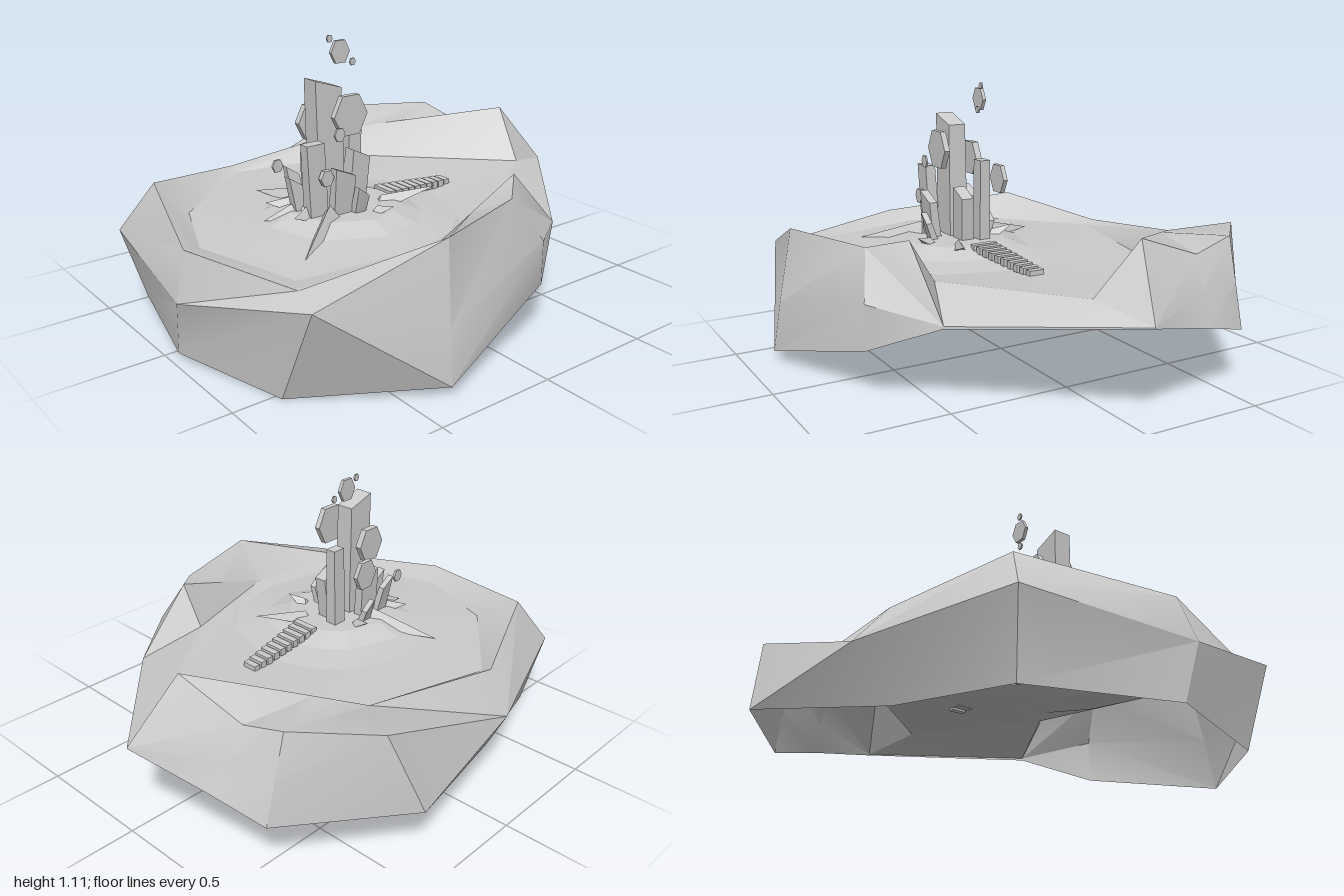
import * as THREE from 'three';
import { toCreasedNormals } from 'three/addons/utils/BufferGeometryUtils.js';

const stone = new THREE.MeshStandardMaterial({ color: 0xcccccc, side: THREE.DoubleSide });
stone.name = 'pale stone';

// Mesh with soft shallow folds and sharp steep edges
function rock(name, geometry, crease = 0.5) {
  const m = new THREE.Mesh(toCreasedNormals(geometry, crease), stone);
  m.name = name;
  return m;
}

// Faceted mesh from a list of triangles of Vector3, dropping empty ones
function facets(name, tris, crease) {
  const pos = [];
  const t = new THREE.Triangle();
  for (const [a, b, c] of tris) {
    if (t.set(a, b, c).getArea() < 1e-6) continue;
    for (const p of [a, b, c]) pos.push(p.x, p.y, p.z);
  }
  const g = new THREE.BufferGeometry();
  g.setAttribute('position', new THREE.Float32BufferAttribute(pos, 3));
  return rock(name, g, crease);
}

// Band of faces between two closed rings; flips lists quads cut along the other diagonal
function band(a, b, flips = []) {
  const tris = [];
  a.forEach((p, i) => {
    const j = (i + 1) % a.length;
    if (flips.includes(i)) tris.push([p, a[j], b[i]], [a[j], b[j], b[i]]);
    else tris.push([p, a[j], b[j]], [p, b[j], b[i]]);
  });
  return tris;
}

const ring = (pts) => pts.map((p) => new THREE.Vector3(...p));

// Rock rings run front, right, back, left; the crest drops away at the back right gap
const bottom = ring([[0.06, 0.025, 0.97], [0.53, 0, 0.82], [0.88, 0.04, 0.35], [0.72, 0.2, -0.25],
  [0.53, 0.33, -0.51], [0.53, 0.33, -0.51], [-0.02, 0.38, -1], [-0.02, 0.38, -1], [-0.34, 0.3, -0.905],
  [-0.57, 0.235, -0.84], [-0.89, 0.21, -0.37], [-0.67, 0.05, 0.33], [-0.52, 0, 0.82]]);
const middle = ring([[0.12, 0.255, 0.995], [0.71, 0.39, 0.81], [0.85, 0.25, 0.335], [0.72, 0.38, -0.25],
  [0.53, 0.34, -0.51], [0.53, 0.34, -0.51], [-0.02, 0.385, -1], [-0.02, 0.385, -1], [-0.36, 0.41, -0.845],
  [-0.57, 0.41, -0.795], [-0.85, 0.385, -0.435], [-0.8, 0.28, 0.26], [-0.57, 0.3, 0.9]]);
const crest = ring([[0.09, 0.44, 0.94], [0.57, 0.41, 0.77], [0.8, 0.56, 0.31], [0.66, 0.56, -0.13],
  [0.54, 0.6, -0.26], [0.53, 0.34, -0.51], [-0.02, 0.385, -1], [-0.1, 0.645, -0.81], [-0.39, 0.54, -0.77],
  [-0.57, 0.585, -0.75], [-0.81, 0.56, -0.5], [-0.8, 0.28, 0.26], [-0.49, 0.5, 0.77]]);
const inner = ring([[0.02, 0.4, 0.84], [0.48, 0.4, 0.72], [0.62, 0.42, 0.26], [0.53, 0.425, 0],
  [0.44, 0.43, -0.26], [0.44, 0.43, -0.26], [0.07, 0.435, -0.76], [0.07, 0.435, -0.76], [-0.12, 0.43, -0.59],
  [-0.31, 0.425, -0.42], [-0.5, 0.42, -0.25], [-0.64, 0.41, 0.3], [-0.33, 0.4, 0.7]]);

// Ledge follows the crest except along the right and back left shoulders
const ledge = crest.map((p) => p.clone());
ledge[3].set(0.58, 0.51, 0);
ledge[8].set(-0.225, 0.614, -0.695);
ledge[9].set(-0.45, 0.558, -0.488);
ledge[10].set(-0.6, 0.52, -0.35);
ledge[11].set(-0.68, 0.43, 0.3);

// Ring of given radius about the mound, following the directions of the inner ring
const centre = new THREE.Vector3(0.09, 0.46, 0.24);
const moundRing = (r, y) => inner.map((p) => {
  const d = p.clone().sub(centre).setY(0).normalize().multiplyScalar(r).add(centre);
  return d.setY(y);
});

// Leaning prism with a chipped top
function shard(x, z, w, d, top, leanX = 0, leanZ = 0, chip = 0.04) {
  const base = 0.43;
  const h = top - base;
  const g = new THREE.BoxGeometry(w, h, d).translate(0, h / 2, 0);
  const p = g.attributes.position;
  for (let i = 0; i < p.count; i++) {
    const k = p.getY(i) > h / 2 ? 1 : 0;
    const back = p.getZ(i) < 0;
    p.setX(i, x + p.getX(i) * (1 - 0.1 * k) + leanX * k);
    p.setZ(i, z + p.getZ(i) + leanZ * k);
    p.setY(i, base + p.getY(i) - (k && back ? chip : 0));
  }
  return rock('shard', g);
}

// Hovering six-sided plate, thin across x
function plate(x, y, z, r, t) {
  const g = new THREE.CylinderGeometry(r, r, t, 6).rotateZ(Math.PI / 2).scale(1, 1.15, 1);
  return rock('floatingPlate', g.translate(x, y, z));
}

// Three-sided splinter falling from the mound out to a tip
function splinter(tx, ty, tz, half, peak) {
  const tip = new THREE.Vector3(tx, ty, tz);
  const dir = tip.clone().sub(centre).setY(0).normalize();
  const root = centre.clone().addScaledVector(dir, 0.13).setY(0.42);
  const side = new THREE.Vector3(-dir.z, 0, dir.x).multiplyScalar(half);
  const l = root.clone().sub(side);
  const r = root.clone().add(side);
  const top = root.clone().addScaledVector(dir, 0.03).setY(peak);
  return facets('splinter', [[l, top, tip], [top, r, tip], [l, tip, r], [l, r, top]], 0.1);
}

export function createModel() {
  const model = new THREE.Group();
  model.name = 'craterRock';

  model.add(facets('outerWall', [...band(bottom, middle, [1]), ...band(middle, crest, [3])]));
  model.add(facets('rim', [...band(crest, ledge, [10]), ...band(ledge, inner, [2])]));

  // Crater floor rising to a low mound
  const rings = [inner, moundRing(0.46, 0.41), moundRing(0.32, 0.425), moundRing(0.22, 0.46)];
  const floor = [];
  for (let i = 0; i < 3; i++) floor.push(...band(rings[i], rings[i + 1]));
  rings[3].forEach((p, i) => floor.push([p, rings[3][(i + 1) % inner.length], centre]));
  model.add(facets('craterFloor', floor, 0.15));

  // Tower of upright shards
  const tower = new THREE.Group();
  tower.name = 'tower';
  tower.add(
    shard(0.07, 0.3, 0.085, 0.12, 0.978, 0, 0.01),
    shard(0.015, 0.14, 0.05, 0.06, 0.8, 0, -0.008, 0),
    shard(0.08, 0.18, 0.06, 0.08, 0.68, 0.01, -0.02),
    shard(0.13, 0.39, 0.05, 0.08, 0.75, 0.01, 0.02, 0),
    shard(0.165, 0.3, 0.04, 0.09, 0.65, 0.02, 0),
    shard(0.19, 0.24, 0.03, 0.05, 0.57, 0.035, 0),
    shard(-0.01, 0.3, 0.04, 0.1, 0.66, -0.01, 0),
    shard(-0.03, 0.36, 0.03, 0.06, 0.61, -0.03, 0.02),
    shard(0.04, 0.4, 0.04, 0.06, 0.6, -0.005, 0.03),
    shard(-0.05, 0.24, 0.03, 0.05, 0.55, -0.03, 0)
  );
  model.add(tower);

  // Hovering plates
  const plates = new THREE.Group();
  plates.name = 'floatingPlates';
  for (const p of [[0.157, 0.84, 0.25, 0.078, 0.025], [-0.025, 0.785, 0.3, 0.07, 0.028],
    [-0.1, 0.7, 0.19, 0.06, 0.02], [0.19, 0.78, 0.32, 0.025, 0.008], [-0.08, 0.61, 0.43, 0.025, 0.01],
    [0.185, 0.62, 0.38, 0.03, 0.02], [0, 1.05, 0.18, 0.045, 0.015], [-0.025, 1.1, 0.21, 0.014, 0.007],
    [0.03, 1.01, 0.14, 0.014, 0.007]]) plates.add(plate(...p));
  model.add(plates);

  // Splinters thrown out around the tower
  const splinters = new THREE.Group();
  splinters.name = 'splinters';
  for (const s of [[-0.35, 0.42, 0.37, 0.05, 0.5], [0.39, 0.4, 0.63, 0.06, 0.51],
    [0.24, 0.5, -0.12, 0.04, 0.48], [0.31, 0.49, 0.15, 0.05, 0.48], [0, 0.43, 0.55, 0.05, 0.51],
    [-0.15, 0.5, 0.16, 0.05, 0.48], [0.14, 0.47, 0.5, 0.05, 0.52],
    [-0.1, 0.46, 0.48, 0.05, 0.5]]) splinters.add(splinter(...s));
  model.add(splinters);

  // Narrowing stairway, half sunk into the back of the mound
  const stairs = new THREE.Group();
  stairs.name = 'stairs';
  for (let i = 0; i < 10; i++) {
    const g = new THREE.BoxGeometry(0.11 - i * 0.005, 0.03, 0.028);
    stairs.add(rock('step', g.translate(0.075 - i * 0.004, 0.457 - i * 0.004, 0.01 - i * 0.038)));
  }
  model.add(stairs);

  return model;
}
